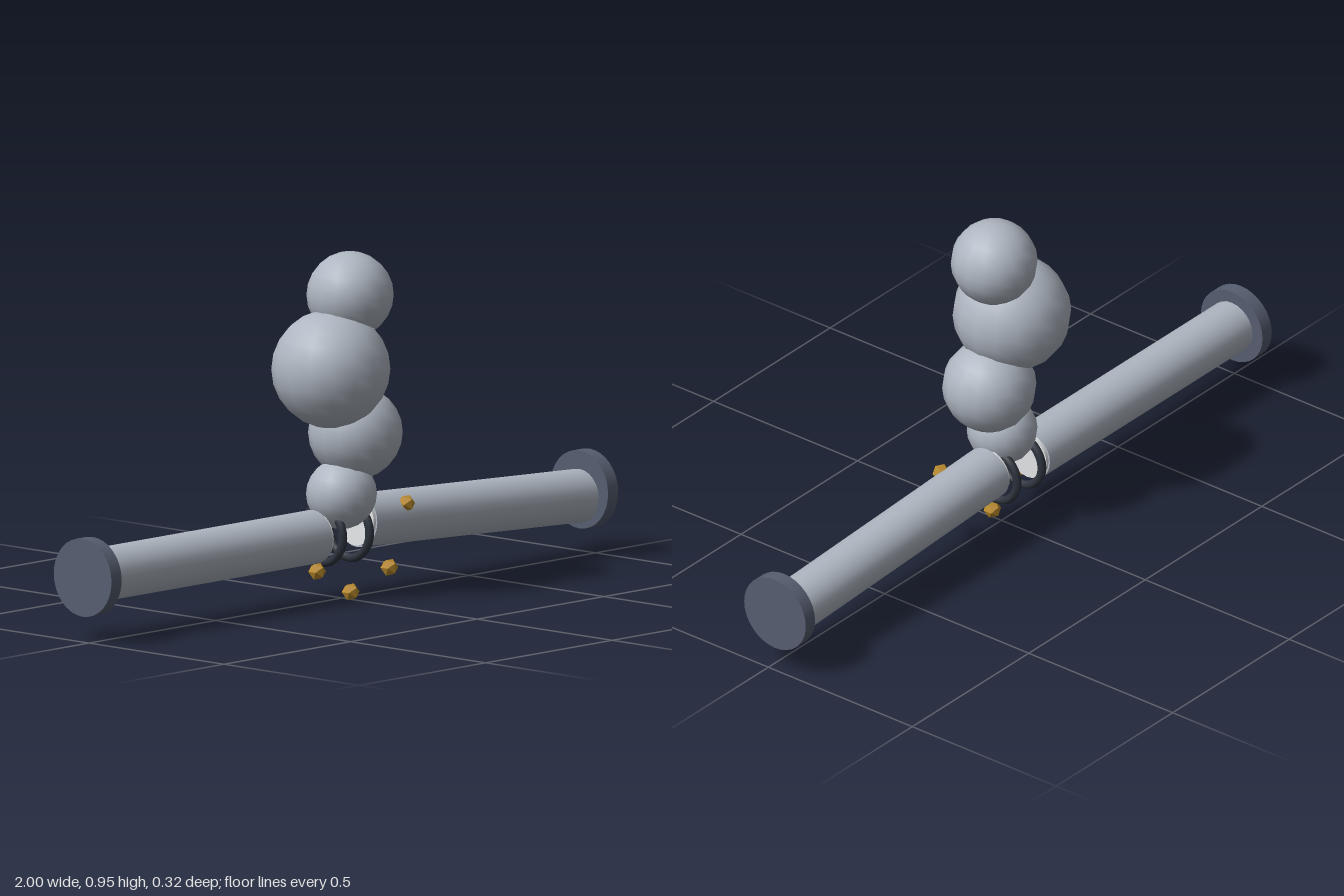
import * as THREE from 'three';

const mat = (name, color) => {
  const m = new THREE.MeshStandardMaterial({ color });
  m.name = name;
  return m;
};

export function createModel() {
  const model = new THREE.Group();
  model.name = 'burstPipe';
  const steel = mat('paleSteel', 0xaeb6c1);
  const slate = mat('slate', 0x565e70);
  const dark = mat('darkIron', 0x2e343e);
  const white = mat('white', 0xf4f6f8);
  const brass = mat('brass', 0xb98a2c);
  const AXIS_Y = 0.183, AXIS_Z = -0.023;

  const add = (name, geometry, material, x, y, z, parent = model) => {
    const mesh = new THREE.Mesh(geometry, material);
    mesh.name = name;
    mesh.position.set(x, y, z);
    parent.add(mesh);
    return mesh;
  };
  // Cylinder lying along x
  const rod = (r, length, sides) => new THREE.CylinderGeometry(r, r, length, sides).rotateZ(Math.PI / 2);

  // Two pipe halves with a gap; the left one sags outward
  const halves = [
    { name: 'right', side: -1, inner: 0.09, y: AXIS_Y, tilt: 0 },
    { name: 'left', side: 1, inner: 0.085, y: 0.186, tilt: -0.046 },
  ];
  for (const { name, side, inner, y, tilt } of halves) {
    const length = 0.975 - inner;
    const half = new THREE.Group();
    half.name = name + 'PipeHalf';
    half.position.set(side * (inner + length / 2), y, AXIS_Z);
    half.rotation.z = tilt;
    model.add(half);
    add(name + 'Pipe', rod(0.073, length, 24), steel, 0, 0, 0, half);
    add(name + 'BrokenEnd', rod(0.068, 0.012, 24), white, -side * (length / 2 + 0.003), 0, 0, half);
    add(name + 'Flange', rod(0.107, 0.04, 32), slate, side * 0.98, AXIS_Y, AXIS_Z);
    // Loose seal ring in the gap
    const ring = new THREE.TorusGeometry(0.075, 0.012, 8, 28).rotateY(Math.PI / 2);
    add(name + 'SealRing', ring, dark, side * 0.053, AXIS_Y, AXIS_Z);
  }

  // Rising steam puffs: x, y, radius
  const puffs = [
    [-0.003, 0.293, 0.096],
    [0.052, 0.455, 0.128],
    [-0.045, 0.64, 0.161],
    [0.031, 0.834, 0.118],
  ];
  puffs.forEach(([x, y, r], i) =>
    add('steamPuff' + (i + 1), new THREE.SphereGeometry(r, 16, 12), steel, x, y, 0));

  // Scattered droplets
  const facetedBrass = brass;
  facetedBrass.flatShading = true;
  const drops = [[-0.135, 0.1], [-0.003, 0.028], [0.15, 0.076], [0.216, 0.243]];
  drops.forEach(([x, y], i) =>
    add('droplet' + (i + 1), new THREE.IcosahedronGeometry(0.025, 0), facetedBrass, x, y, 0.034));

  return model;
}
